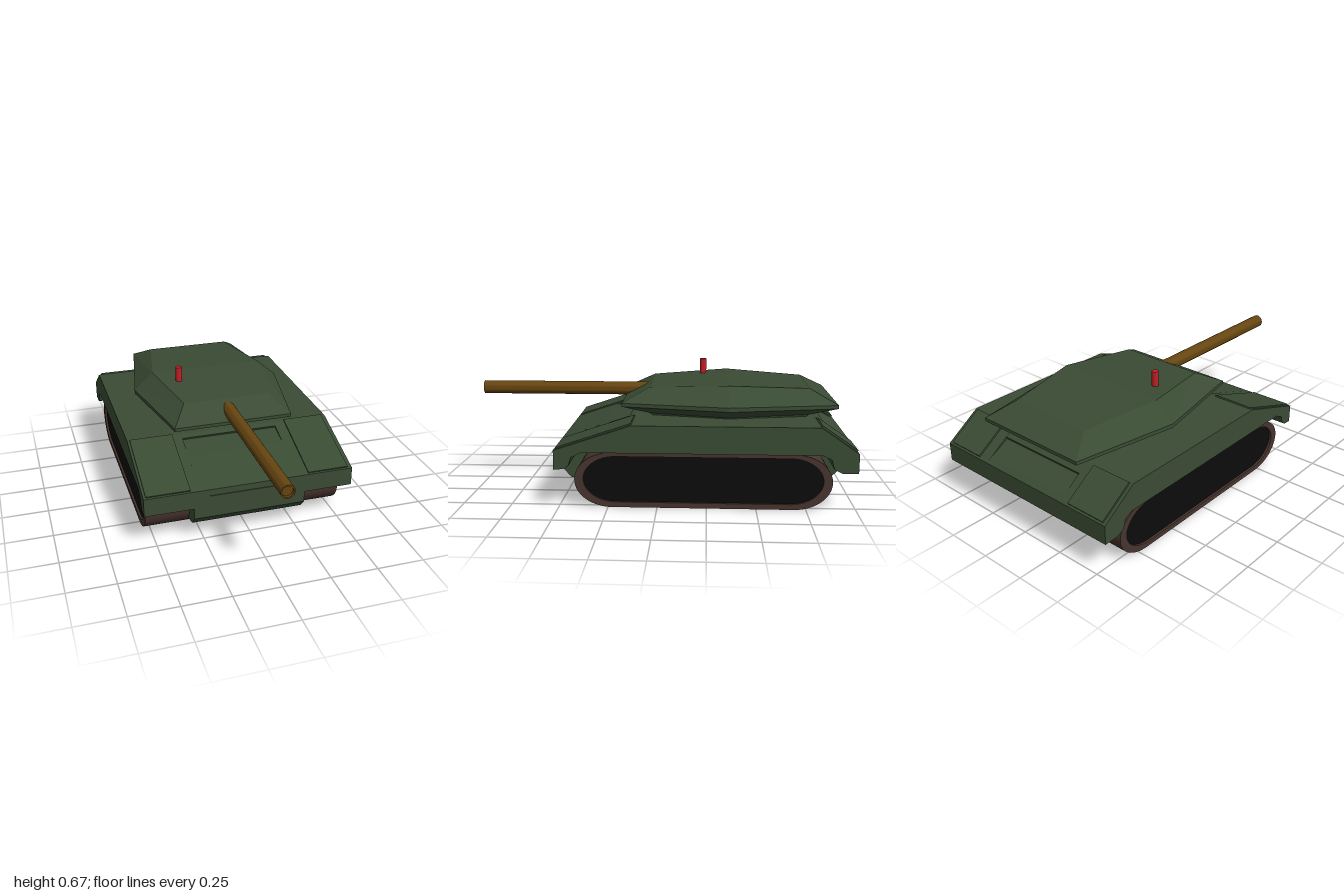
import * as THREE from 'three';
import { toCreasedNormals } from 'three/addons/utils/BufferGeometryUtils.js';

const paint = (color) => new THREE.MeshStandardMaterial({ color });

// Extrude a (z, y) side profile across x0..x1
function profileShape(points) {
  return new THREE.Shape(points.map(([z, y]) => new THREE.Vector2(z, y)));
}
function extrudeX(shape, x0, x1) {
  const geo = new THREE.ExtrudeGeometry(shape, { depth: x1 - x0, bevelEnabled: false, curveSegments: 16 });
  return geo.rotateY(-Math.PI / 2).translate(x1, 0, 0);
}

// Thin plate lying on the slope from a to b, given as (z, y)
function slopePlate(x0, x1, a, b, t) {
  const dz = b[0] - a[0], dy = b[1] - a[1], len = Math.hypot(dz, dy);
  const s = Math.sign(dz) * t / len;
  const n = [-dy * s, dz * s];
  return extrudeX(profileShape([a, b, [b[0] + n[0], b[1] + n[1]], [a[0] + n[0], a[1] + n[1]]]), x0, x1);
}

// Track loop outline with elliptical ends
function trackOutline(PathType, zFront, zBack, y0, y1, rz) {
  const p = new PathType(), cy = (y0 + y1) / 2, ry = (y1 - y0) / 2;
  p.absellipse(zFront - rz, cy, rz, ry, -Math.PI / 2, Math.PI / 2, false, 0);
  p.absellipse(zBack + rz, cy, rz, ry, Math.PI / 2, Math.PI * 1.5, false, 0);
  p.closePath();
  return p;
}

// Faceted shell lofted through six-sided rings, capped above and below
function loftTurret(rings) {
  const pos = [];
  const quad = (a, b, c, d) => pos.push(...a, ...b, ...c, ...a, ...c, ...d);
  const loops = rings.map(({ x, z, y }) => [
    [x[0], y[0], z[0]], [x[1], y[1], z[1]], [x[2], y[2], z[2]],
    [-x[2], y[2], z[2]], [-x[1], y[1], z[1]], [-x[0], y[0], z[0]],
  ]);
  for (let r = 0; r < loops.length - 1; r++) {
    for (let i = 0; i < 6; i++) {
      const j = (i + 1) % 6;
      quad(loops[r][i], loops[r][j], loops[r + 1][j], loops[r + 1][i]);
    }
  }
  const t = loops[loops.length - 1], b = loops[0];
  quad(t[0], t[1], t[4], t[5]);
  quad(t[1], t[2], t[3], t[4]);
  quad(b[5], b[4], b[1], b[0]);
  quad(b[4], b[3], b[2], b[1]);
  const geo = new THREE.BufferGeometry();
  geo.setAttribute('position', new THREE.Float32BufferAttribute(pos, 3));
  geo.computeVertexNormals();
  return geo;
}

export function createModel() {
  const model = new THREE.Group();
  const green = paint(0x3a4b34), brown = paint(0x48342e), black = paint(0x0c0c0c);
  const bronze = paint(0x664510), red = paint(0xc02026);
  const add = (name, geo, mat, parent = model) => {
    const mesh = new THREE.Mesh(geo, mat);
    mesh.name = name;
    parent.add(mesh);
    return mesh;
  };

  // Hull: lower tub, centre deck with shallow recesses, and fenders arched over the tracks
  const hull = new THREE.Group();
  hull.name = 'hull';
  model.add(hull);
  add('lowerHull', extrudeX(profileShape([
    [0.52, 0.29], [0.52, 0.14], [0.475, 0.09], [0.4, 0.07],
    [-0.8, 0.07], [-0.9, 0.105], [-1, 0.2], [-1, 0.29],
  ]), -0.305, 0.295), green, hull);
  add('centreDeck', extrudeX(profileShape([
    [0.52, 0.29], [0.52, 0.3], [0.29, 0.377], [0.155, 0.409], [0.16, 0.42], [0.13, 0.43],
    [-0.81, 0.43], [-0.865, 0.392], [-0.86, 0.38], [-0.97, 0.32], [-1, 0.3], [-1, 0.29],
  ]), -0.27, 0.255), green, hull);
  const fender = profileShape([
    [0.52, 0.3], [0.13, 0.43], [-0.81, 0.43], [-1, 0.3], [-1, 0.2],
    [-0.92, 0.2], [-0.88, 0.22], [-0.865, 0.27], [-0.82, 0.29],
    [0.38, 0.29], [0.43, 0.265], [0.445, 0.22], [0.47, 0.205], [0.52, 0.2],
  ]);
  add('rightFender', extrudeX(fender, -0.563, -0.27), green, hull);
  add('leftFender', extrudeX(fender, 0.255, 0.56), green, hull);

  // Raised plates on the sloping corners and the nose
  for (const [side, x0, x1] of [['right', -0.55, -0.32], ['left', 0.315, 0.537]]) {
    add(side + 'FrontPlate', slopePlate(x0, x1, [0.51, 0.302], [0.128, 0.43], 0.008), green, hull);
    add(side + 'RearPlate', slopePlate(x0 + 0.005, x1, [-0.99, 0.306], [-0.812, 0.428], 0.01), green, hull);
  }
  add('nosePlate', new THREE.BoxGeometry(0.44, 0.09, 0.01).translate(-0.005, 0.22, 0.519), green, hull);

  // Tracks: a brown band around a slightly sunken dark centre
  const band = trackOutline(THREE.Shape, 0.42, -0.88, 0, 0.285, 0.19);
  band.holes.push(trackOutline(THREE.Path, 0.375, -0.835, 0.027, 0.265, 0.165));
  const core = trackOutline(THREE.Shape, 0.38, -0.84, 0.024, 0.268, 0.167);
  for (const [side, x0, x1] of [['right', -0.54, -0.282], ['left', 0.272, 0.53]]) {
    add(side + 'Track', toCreasedNormals(extrudeX(band, x0, x1), 0.6), brown);
    add(side + 'TrackCentre', extrudeX(core, x0 + 0.012, x1 - 0.012), black);
  }

  // Turret: undercut base, thin vertical rim, sloped sides and a ridged roof
  const turret = new THREE.Group();
  turret.name = 'turret';
  turret.position.x = 0.007;
  model.add(turret);
  const rimX = [0.325, 0.429, 0.325], rimZ = [0.195, -0.36, -0.925];
  add('turretShell', loftTurret([
    { x: [0.27, 0.36, 0.27], z: [0.03, -0.36, -0.76], y: [0.425, 0.425, 0.425] },
    { x: [0.27, 0.36, 0.27], z: [0.05, -0.36, -0.78], y: [0.44, 0.435, 0.44] },
    { x: rimX, z: rimZ, y: [0.482, 0.478, 0.482] },
    { x: rimX, z: rimZ, y: [0.5, 0.5, 0.5] },
    { x: [0.24, 0.32, 0.24], z: [0.055, -0.36, -0.785], y: [0.573, 0.595, 0.573] },
  ]), green, turret);

  // Gun barrel with a shallow muzzle recess
  const barrel = [[0, 0], [0.036, 0], [0.036, 1], [0.029, 1], [0.029, 0.985], [0, 0.985]];
  const gun = new THREE.LatheGeometry(barrel.map(([r, h]) => new THREE.Vector2(r, h)), 32);
  add('gunBarrel', toCreasedNormals(gun, 0.6).rotateX(Math.PI / 2).translate(0, 0.527, 0), bronze, turret);

  // Small roof post
  add('roofPost', new THREE.CylinderGeometry(0.018, 0.018, 0.1, 24).translate(-0.197, 0.62, -0.225), red, turret);

  return model;
}
